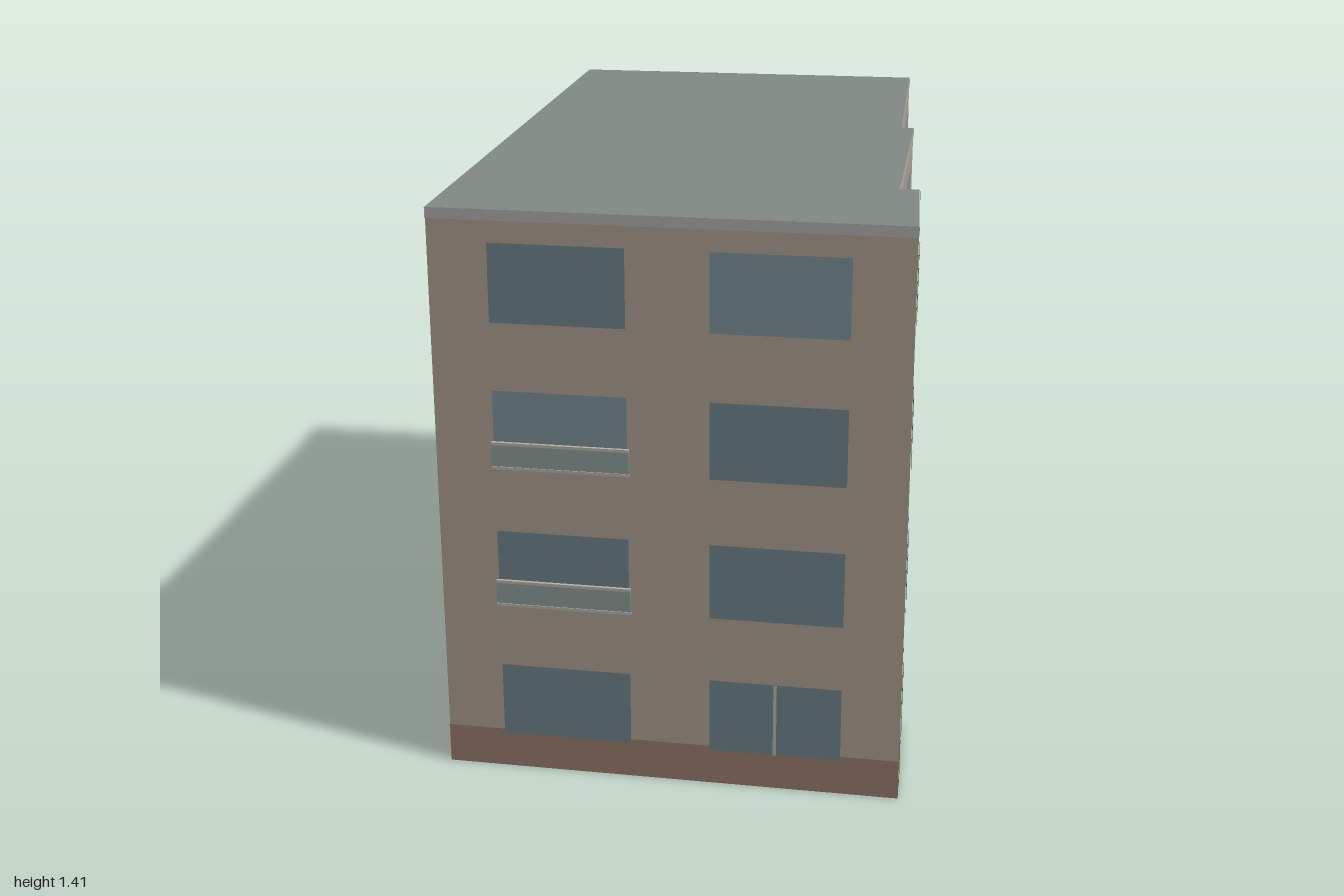
import * as THREE from 'three';

const HEIGHT = 1.41;
const PLINTH = 0.1;
const CORNICE = 0.025;
const STOREYS = [0.09, 0.442, 0.794, 1.146]; // window sill heights
const WINDOW_HEIGHT = 0.188;

const mat = (color) => new THREE.MeshStandardMaterial({ color, side: THREE.DoubleSide });
const wallMat = mat(0xab9d8f);
const plinthMat = mat(0x967a6c);
const corniceMat = mat(0xadaea9);
const roofMat = mat(0x828a86);
const glassMat = mat(0x6c838a);
const lightGlassMat = mat(0x798e95);
const frameMat = mat(0xb5b3a8);
const balconyMat = mat(0x8a9a97);

// Footprint walls, each running from its start corner to the next one.
// columns: window centres along the wall (0..1), width: window width (0..1),
// light: paler panes, mullions: panes split in two, rails: balcony fronts ('column,storey')
const two = [0.27, 0.73];
const WALLS = [
  { name: 'frontWall', start: [-0.565, 0.905], columns: two, width: 0.286,
    light: ['1,3', '0,2'], mullions: ['1,0'], rails: ['0,1', '0,2'] },
  { name: 'rightFrontWall', start: [0.54, 0.997], columns: [0.48], width: 0.54,
    light: ['0,3'], mullions: 'all' },
  { name: 'frontStep', start: [0.55, 0.64] },
  { name: 'rightMiddleWall', start: [0.503, 0.636], columns: [0.496], width: 0.56,
    light: ['0,3'], mullions: 'all' },
  { name: 'middleStep', start: [0.553, -0.105] },
  { name: 'rightBackWall', start: [0.52, -0.108], columns: [0.277, 0.719], width: 0.283,
    light: ['1,3', '0,2'], mullions: 'all' },
  { name: 'backWall', start: [0.56, -0.925], columns: two, width: 0.286,
    light: ['1,3', '0,2'], mullions: 'all' },
  { name: 'leftWall', start: [-0.46, -1], columns: [0.185, 0.5, 0.817], width: 0.2,
    light: [], mullions: ['1,0'], rails: ['2,1'] },
];

// Flat panel in wall space: x along the wall, y up, z outward
function panel(parent, name, material, x, y, width, height, z = 0) {
  const mesh = new THREE.Mesh(new THREE.PlaneGeometry(width, height), material);
  mesh.name = name;
  mesh.position.set(x, y + height / 2, z);
  parent.add(mesh);
}

// Shallow balcony front with a glazed sheet between two rails
function balcony(parent, x, y, width) {
  const bar = (name, material, yBar, height, depth) => {
    const mesh = new THREE.Mesh(new THREE.BoxGeometry(width, height, depth), material);
    mesh.name = name;
    mesh.position.set(x, yBar, 0.008);
    parent.add(mesh);
  };
  bar('balconyPanel', balconyMat, y + 0.03, 0.056, 0.004);
  bar('balconyTopRail', frameMat, y + 0.06, 0.007, 0.008);
  bar('balconyBottomRail', frameMat, y, 0.007, 0.008);
}

function buildWall(spec, end) {
  const [x0, z0] = spec.start;
  const dx = end[0] - x0, dz = end[1] - z0;
  const length = Math.hypot(dx, dz);
  const wall = new THREE.Group();
  wall.name = spec.name;
  wall.position.set(x0, 0, z0);
  wall.rotation.y = Math.atan2(-dz, dx);

  panel(wall, 'masonry', wallMat, length / 2, 0, length, HEIGHT);
  panel(wall, 'plinth', plinthMat, length / 2, 0, length, PLINTH, 0.0015);
  panel(wall, 'cornice', corniceMat, length / 2, HEIGHT - CORNICE, length, CORNICE, 0.0015);

  // Window grid
  (spec.columns || []).forEach((centre, column) => {
    STOREYS.forEach((sill, storey) => {
      const key = `${column},${storey}`;
      const x = centre * length, width = spec.width * length;
      const glass = spec.light.includes(key) ? lightGlassMat : glassMat;
      panel(wall, 'window', glass, x, sill, width, WINDOW_HEIGHT, 0.003);
      if (spec.mullions === 'all' || spec.mullions.includes(key)) {
        panel(wall, 'mullion', frameMat, x, sill, 0.008, WINDOW_HEIGHT, 0.0045);
      }
      if (spec.rails?.includes(key)) balcony(wall, x, sill, width + 0.01);
    });
  });
  return wall;
}

export function createModel() {
  const model = new THREE.Group();
  model.name = 'apartmentBlock';

  // Walls around the footprint, open underneath
  WALLS.forEach((spec, i) => {
    model.add(buildWall(spec, WALLS[(i + 1) % WALLS.length].start));
  });

  // Flat roof following the footprint
  const outline = new THREE.Shape(WALLS.map(({ start: [x, z] }) => new THREE.Vector2(x, -z)));
  const roof = new THREE.Mesh(new THREE.ShapeGeometry(outline), roofMat);
  roof.name = 'roof';
  roof.rotation.x = -Math.PI / 2;
  roof.position.y = HEIGHT;
  model.add(roof);

  return model;
}
